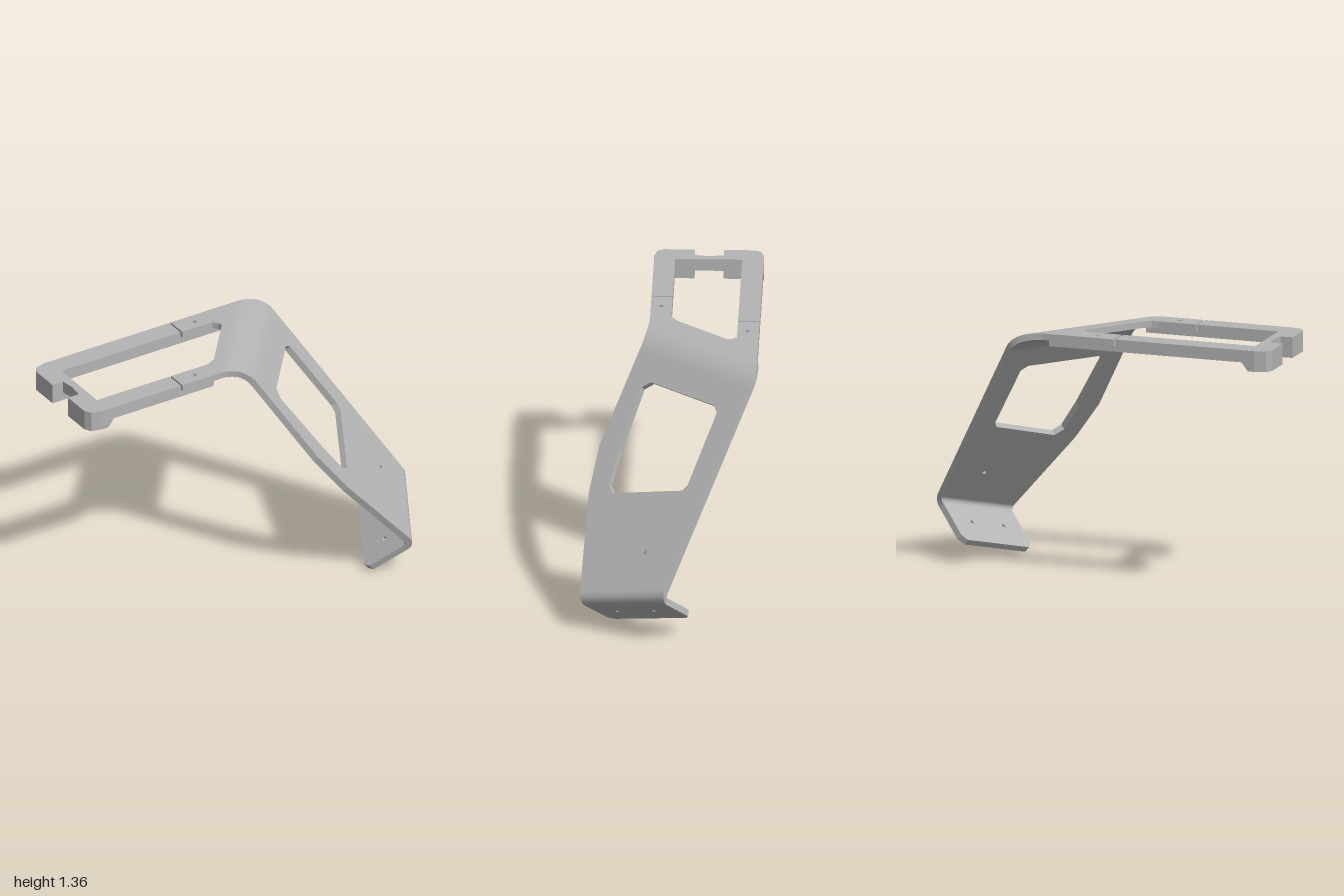
import * as THREE from 'three';

const V = (x, y, z) => new THREE.Vector3(x, y, z);
const T = 0.035;                 // sheet thickness
const TOP = 1.36;                // top face height
const TILT = THREE.MathUtils.degToRad(53.4);

// Fold directions: E along the upper fold, H across it, D down the panel, N into the panel
const E = V(0.625, 0, -0.78).normalize();
const H = V(0.78, 0, 0.625).normalize();
const D = H.clone().multiplyScalar(Math.cos(TILT)).add(V(0, -Math.sin(TILT), 0));
const N = E.clone().cross(D);
const O = H.clone().multiplyScalar(0.03).add(V(0, TOP, 0));
// Lower fold: F along it, G across it
const F = E.clone().multiplyScalar(0.953).addScaledVector(D, -0.303).normalize();
const G = N.clone().cross(F);

export function createModel() {
  const model = new THREE.Group();
  model.name = 'bracket';
  const grey = new THREE.MeshStandardMaterial({ color: 0xb4b4b4 });
  grey.name = 'grey';

  const add = (name, geometry) => {
    const mesh = new THREE.Mesh(geometry, grey);
    mesh.name = name;
    model.add(mesh);
    return mesh;
  };

  const toPath = (pts) => pts.map(([x, y]) => new THREE.Vector2(x, y));
  const screwHole = (x, y, r = 0.018) =>
    [0, 1, 2].map((i) => [x + r * Math.cos(i * 2.094 + 0.4), y + r * Math.sin(i * 2.094 + 0.4)]);

  // Flat sheet: outline in the (X, Y) plane at origin, thickened along X x Y
  function slab(name, origin, X, Y, outline, depth, holes = [], rule) {
    const shape = new THREE.Shape(toPath(outline));
    holes.forEach((h) => shape.holes.push(new THREE.Path(toPath(h))));
    const g = new THREE.ExtrudeGeometry(shape, { depth, bevelEnabled: false });
    if (rule) {
      const p = g.attributes.position;
      for (let i = 0; i < p.count; i++) rule(p, i);
      g.computeVertexNormals();
    }
    g.applyMatrix4(new THREE.Matrix4().makeBasis(X, Y, X.clone().cross(Y)).setPosition(origin));
    return add(name, g);
  }

  // Curved sheet: sweeps from direction Y towards X x Y, with edges lo(u) and hi(u)
  function bend(name, origin, X, Y, R, angle, lo, hi) {
    const inward = X.clone().cross(Y);
    const centre = origin.clone().addScaledVector(inward, R);
    const at = (u, r, w) => centre.clone()
      .addScaledVector(inward, -r * Math.cos(u * angle))
      .addScaledVector(Y, r * Math.sin(u * angle))
      .addScaledVector(X, w);
    const r = R - T, steps = 14;
    const strips = [
      (u) => [at(u, R, lo(u)), at(u, R, hi(u))],
      (u) => [at(u, r, hi(u)), at(u, r, lo(u))],
      (u) => [at(u, r, lo(u)), at(u, R, lo(u))],
      (u) => [at(u, R, hi(u)), at(u, r, hi(u))],
    ];
    const pos = [], index = [];
    strips.forEach((row) => {
      const base = pos.length / 3;
      for (let i = 0; i <= steps; i++) {
        row(i / steps).forEach((p) => pos.push(p.x, p.y, p.z));
        if (i < steps) {
          const k = base + i * 2;
          index.push(k, k + 2, k + 1, k + 1, k + 2, k + 3);
        }
      }
    });
    const g = new THREE.BufferGeometry();
    g.setAttribute('position', new THREE.Float32BufferAttribute(pos, 3));
    g.setIndex(index);
    g.computeVertexNormals();
    add(name, g);
  }

  // Horizontal frame, outlined in (x, z)
  const AX = V(1, 0, 0), AZ = V(0, 0, 1);
  const onFold = (s, z) => [(s - H.z * z) / H.x, z];
  const frontCorner = [[-0.92, 0.12], [-0.98, 0.105], [-1, 0.07]];
  const backCorner = [[-1, -0.4], [-0.98, -0.435], [-0.92, -0.45]];
  const notch = [[-1, -0.09], [-0.935, -0.09], [-0.925, -0.165], [-0.935, -0.24], [-1, -0.24]];
  const endOutline = [...frontCorner, ...notch, ...backCorner];
  const inner = [[-0.885, -0.337], [-0.885, 0.01]];
  const cutF = -0.436, cutB = -0.15, gap = 0.005;

  slab('frameEnd', V(0, TOP, 0), AX, AZ, [
    [cutF - gap, 0.12], ...endOutline, [cutB - gap, -0.45], [cutB - gap, -0.337],
    ...inner, [cutF - gap, 0.01],
  ], T);

  slab('topPlate', V(0, TOP, 0), AX, AZ, [
    [cutF + gap, 0.12], [cutF + gap, 0.01], [-0.225, 0.01], [-0.19, 0.004], [-0.15, -0.02],
    [0.065, -0.287], [0.06, -0.31], [0.04, -0.337], [cutB + gap, -0.337], [cutB + gap, -0.45],
    onFold(-0.09, -0.45), onFold(-0.09, 0.12),
  ], T, [screwHole(-0.32, 0.065), screwHole(-0.035, -0.39)]);

  // Thicker rails below the grooved top layer
  slab('rails', V(0, TOP - T, 0), AX, AZ, [
    onFold(-0.115, 0.12), ...endOutline, onFold(-0.115, -0.45), onFold(-0.13, -0.337),
    ...inner, onFold(-0.115, 0.01),
  ], 0.03);

  // Feet under the frame end, sloping where they meet the rails
  const slope = (p, i) => {
    if (p.getZ(i) > 0.01 && p.getX(i) > -0.87) p.setX(i, -0.884);
  };
  slab('frontFoot', V(0, 1.295, 0), AX, AZ, [
    ...frontCorner, [-1, -0.09], [-0.885, -0.09], [-0.885, 0.01], [-0.85, 0.01], [-0.85, 0.12],
  ], 0.045, [], slope);
  slab('backFoot', V(0, 1.295, 0), AX, AZ, [
    ...backCorner, [-0.85, -0.45], [-0.85, -0.337], [-0.885, -0.337], [-0.885, -0.24], [-1, -0.24],
  ], 0.045, [], slope);

  // Upper fold, its edges easing from the rails into the panel
  const ease = (from, to) => (u) => to + (from - to) * (1 - u) ** 2;
  bend('upperFold', H.clone().multiplyScalar(-0.09).add(V(0, TOP, 0)), E, H, 0.12 / Math.tan(TILT / 2),
    TILT, ease(-0.2255, -0.133), ease(0.504, 0.61));

  // Sloping panel with its window
  const windowHole = [
    [0.014, 0.262], [0.444, 0.262], [0.478, 0.293], [0.485, 0.697], [0.465, 0.735],
    [0.062, 0.872], [0.018, 0.834], [-0.007, 0.66], [-0.029, 0.305],
  ];
  slab('panel', O, E, D, [
    [-0.133, 0.12], [0.61, 0.12], [0.61, 1.252], [0.1135, 1.41], [-0.08, 0.909], [-0.133, 0.66],
  ], T, [windowHole, screwHole(0.403, 1.102)]);

  // Lower fold and mounting flange
  const lerp = (a, b) => (u) => a + (b - a) * u;
  bend('lowerFold', O.clone().addScaledVector(G, 1.378), F, G, 0.06, Math.PI / 2,
    lerp(-0.319, -0.315), lerp(0.202, 0.182));
  slab('flange', O.clone().addScaledVector(G, 1.438), F, N, [
    [-0.315, 0.06], [0.182, 0.06], [0.182, 0.28], [0.152, 0.312], [-0.285, 0.312], [-0.315, 0.28],
  ], T, [screwHole(-0.185, 0.172), screwHole(0.042, 0.172)]);

  return model;
}
